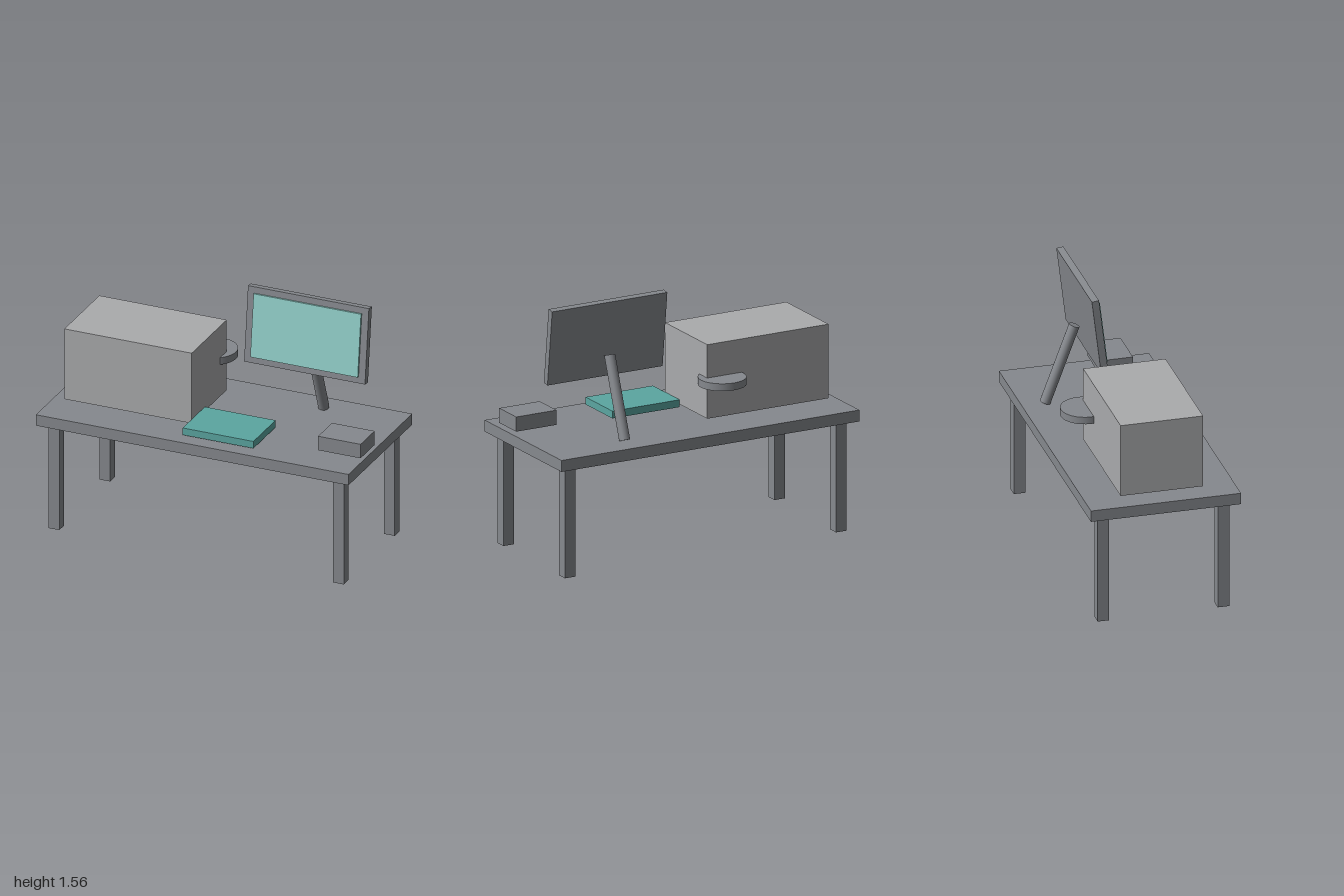
import * as THREE from 'three';

export function createModel() {
  const model = new THREE.Group();
  model.name = 'desk';

  const material = (name, color) => {
    const m = new THREE.MeshStandardMaterial({ color });
    m.name = name;
    return m;
  };
  const slateGrey = material('slate grey', 0x86898e);
  const lightGrey = material('light grey', 0xaaabad);
  const teal = material('teal', 0x5ba6a1);
  const paleAqua = material('pale aqua', 0x92d0ca);

  const add = (name, geometry, mat, x, y, z, parent = model) => {
    const mesh = new THREE.Mesh(geometry, mat);
    mesh.name = name;
    mesh.position.set(x, y, z);
    parent.add(mesh);
    return mesh;
  };
  const box = (w, h, d) => new THREE.BoxGeometry(w, h, d);

  // Table: top and four square legs
  add('tableTop', box(2, 0.07, 0.91), slateGrey, 0, 0.71, 0);
  for (const x of [-0.91, 0.91]) {
    for (const z of [-0.364, 0.364]) {
      add('tableLeg', box(0.07, 0.675, 0.07), slateGrey, x, 0.3375, z);
    }
  }

  // Large case with a round disc set into its back corner
  add('case', box(0.815, 0.453, 0.5), lightGrey, -0.502, 1.002, 0);
  add('disc', new THREE.CylinderGeometry(0.143, 0.143, 0.045, 32), slateGrey, -0.185, 1.002, -0.267);

  // Flat pad and small block on the table
  add('pad', box(0.452, 0.045, 0.317), teal, 0.135, 0.783, 0.228);
  add('smallBlock', box(0.272, 0.09, 0.2), slateGrey, 0.864, 0.82, 0.182);

  // Monitor leaning back, with its raised screen
  const monitor = new THREE.Group();
  monitor.name = 'monitor';
  monitor.position.set(0.497, 1.32, -0.09);
  monitor.rotation.x = -0.12;
  model.add(monitor);
  add('monitorBody', box(0.773, 0.469, 0.043), slateGrey, 0, 0, 0, monitor);
  add('screen', box(0.687, 0.391, 0.013), paleAqua, 0, 0, 0.028, monitor);

  // Slanted round stand
  const stand = add('monitorStand', new THREE.CylinderGeometry(0.0325, 0.0325, 0.507, 24), slateGrey, 0.497, 0.991, -0.227);
  stand.rotation.x = 0.357;

  return model;
}
